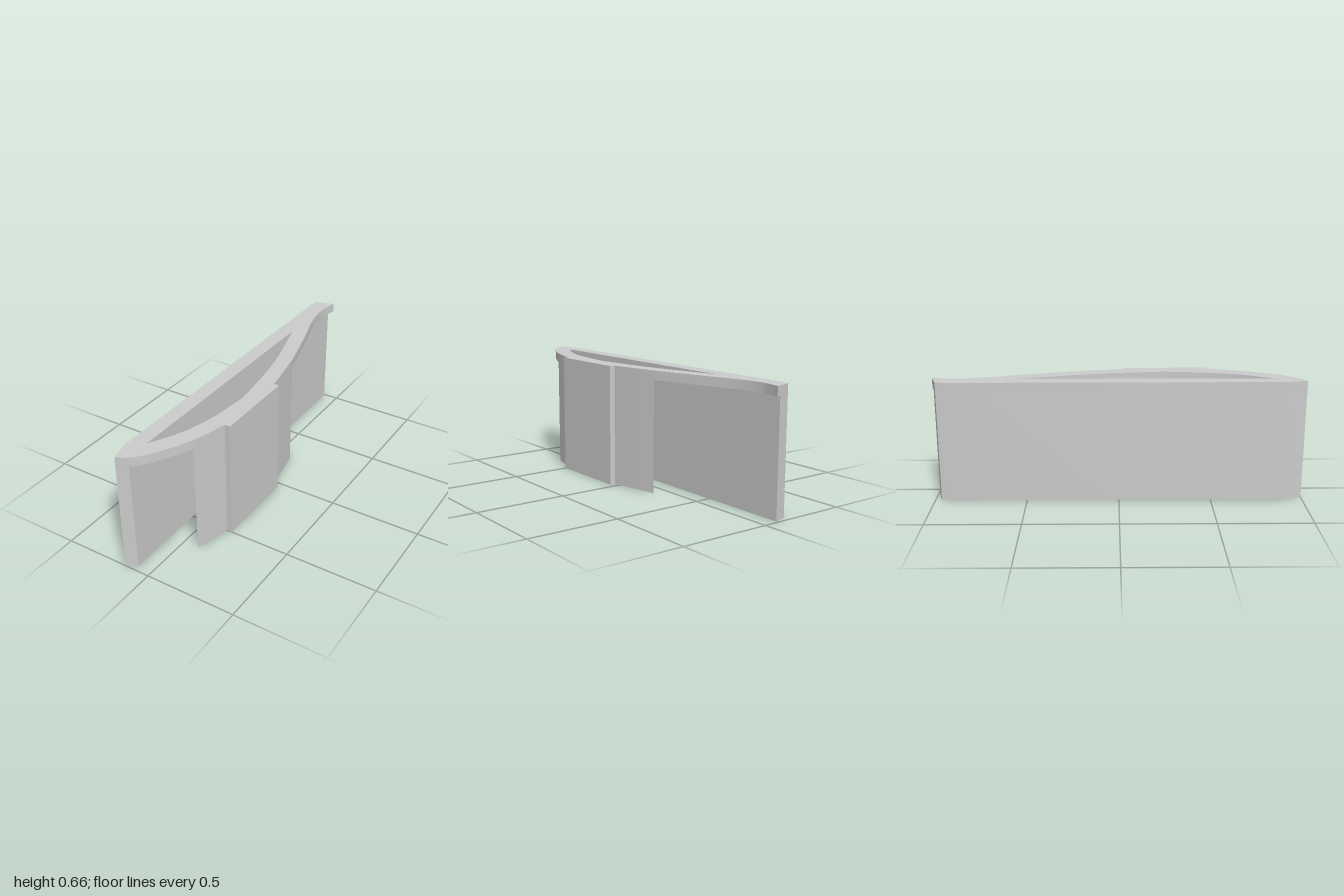
import * as THREE from 'three';
import { toCreasedNormals } from 'three/addons/utils/BufferGeometryUtils.js';

const HEIGHT = 0.66, PLATE_BOTTOM = 0.61;

// smooth run of [x, z] points
function smooth(points, n = 24) {
  const curve = new THREE.SplineCurve(points.map(([x, z]) => new THREE.Vector2(x, z)));
  return curve.getPoints(n).map((p) => [p.x, p.y]);
}

// plan outline in [x, z], raised from y0 to y1
function raise(name, outline, y0, y1, hole) {
  const toPlan = (pts) => pts.map(([x, z]) => new THREE.Vector2(x, -z));
  const shape = new THREE.Shape(toPlan(outline));
  if (hole) shape.holes.push(new THREE.Path(toPlan(hole)));
  const geo = new THREE.ExtrudeGeometry(shape, { depth: y1 - y0, bevelEnabled: false });
  geo.rotateX(-Math.PI / 2);
  geo.translate(0, y0, 0);
  const mesh = new THREE.Mesh(
    toCreasedNormals(geo, 0.3),
    new THREE.MeshStandardMaterial({ color: 0xcccccc })
  );
  mesh.name = name;
  return mesh;
}

export function createModel() {
  const group = new THREE.Group();
  group.name = 'bowedBracket';

  // bowed outer edge, split where it meets the side wall
  const frontTip = smooth([[-0.14, 1], [-0.095, 0.975], [-0.06, 0.945], [-0.01, 0.88], [0.045, 0.78], [0.085, 0.693]]);
  const frontBow = smooth([[0.085, 0.693], [0.113, 0.6], [0.137, 0.5]], 8);
  const pad = [[0.167, 0.5], [0.167, 0.035]];
  const backBow = smooth([[0.137, 0.035], [0.112, -0.11], [0.085, -0.247]], 8);
  const backTip = smooth([[0.085, -0.247], [0.058, -0.35], [0, -0.555], [-0.037, -0.67], [-0.063, -0.776],
    [-0.074, -0.88], [-0.067, -0.94], [-0.055, -1]]);
  const backCorner = [[-0.157, -0.967], [-0.167, -0.913]];

  // top plate with a bow-shaped opening
  const opening = [
    ...smooth([[-0.085, 0.83], [-0.021, 0.71], [0.021, 0.6], [0.053, 0.45], [0.069, 0.29]], 16),
    [0.074, 0.245],
    ...smooth([[0.069, 0.2], [0.037, -0.055], [0, -0.237], [-0.042, -0.396], [-0.085, -0.54]], 16),
  ];
  group.add(raise('topPlate',
    [[-0.167, 0.89], ...frontTip, ...frontBow.slice(1), ...pad, ...backBow, ...backTip.slice(1), ...backCorner],
    PLATE_BOTTOM, HEIGHT, opening));

  // long straight wall
  group.add(raise('longWall',
    [[-0.167, 0.89], [-0.14, 1], [-0.085, 0.967], [-0.085, -0.988], ...backCorner],
    0, PLATE_BOTTOM));

  // short wall, flat inside, bowed outside with a raised pad
  group.add(raise('shortWall', [...frontBow, ...pad, ...backBow], 0, PLATE_BOTTOM));

  return group;
}
